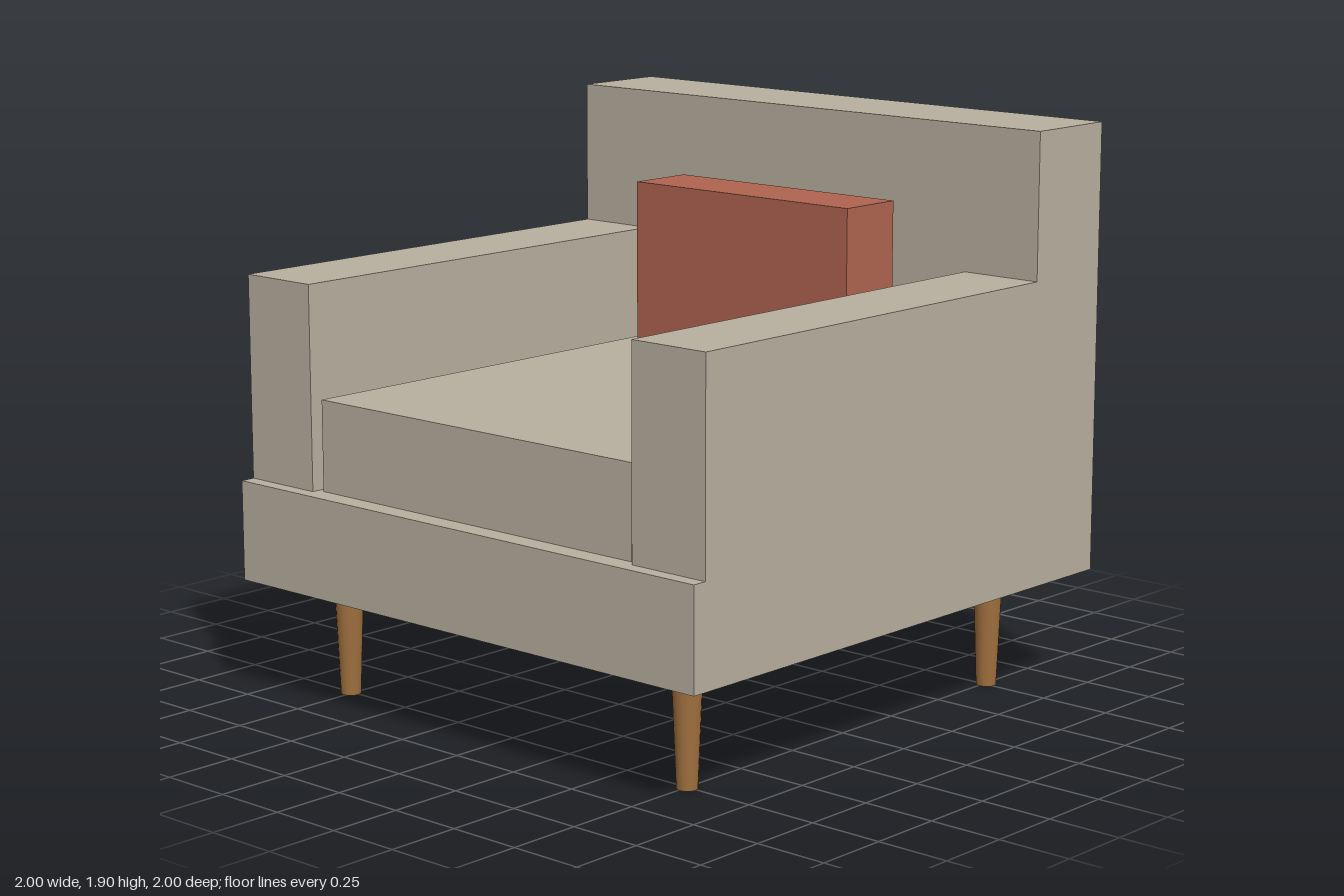
import * as THREE from 'three';

export function createModel() {
  const model = new THREE.Group();
  model.name = 'armchair';

  const material = (name, color) => {
    const m = new THREE.MeshStandardMaterial({ color });
    m.name = name;
    return m;
  };
  const fabric = material('beige fabric', 0xb8b0a0);
  const rust = material('rust fabric', 0xb06450);
  const wood = material('brown wood', 0xa0703f);

  // Box given by its minimum and maximum along each axis
  const box = (name, mat, [x0, x1], [y0, y1], [z0, z1]) => {
    const mesh = new THREE.Mesh(new THREE.BoxGeometry(x1 - x0, y1 - y0, z1 - z0), mat);
    mesh.position.set((x0 + x1) / 2, (y0 + y1) / 2, (z0 + z1) / 2);
    mesh.name = name;
    model.add(mesh);
  };

  // Upholstered body
  const legTop = 0.395, baseTop = 0.733, backFront = -0.66;
  box('base', fabric, [-1, 1], [legTop, baseTop], [-1, 1]);
  box('backrest', fabric, [-1, 1], [baseTop, 1.905], [-1, backFront]);
  box('leftArm', fabric, [0.707, 1], [baseTop, 1.417], [backFront, 0.95]);
  box('rightArm', fabric, [-1, -0.707], [baseTop, 1.417], [backFront, 0.95]);

  // Loose cushions
  box('seatCushion', fabric, [-0.683, 0.683], [baseTop, 1.038], [-0.635, 0.925]);
  box('pillow', rust, [-0.465, 0.465], [1.038, 1.637], [-0.585, -0.345]);

  // Tapered round legs
  const legGeometry = new THREE.CylinderGeometry(0.05, 0.034, legTop, 16);
  for (const x of [-1, 1]) {
    for (const z of [-1, 1]) {
      const leg = new THREE.Mesh(legGeometry, wood);
      leg.position.set(x * 0.756, legTop / 2, z * 0.756);
      leg.name = (z > 0 ? 'front' : 'back') + (x > 0 ? 'Left' : 'Right') + 'Leg';
      model.add(leg);
    }
  }

  return model;
}
